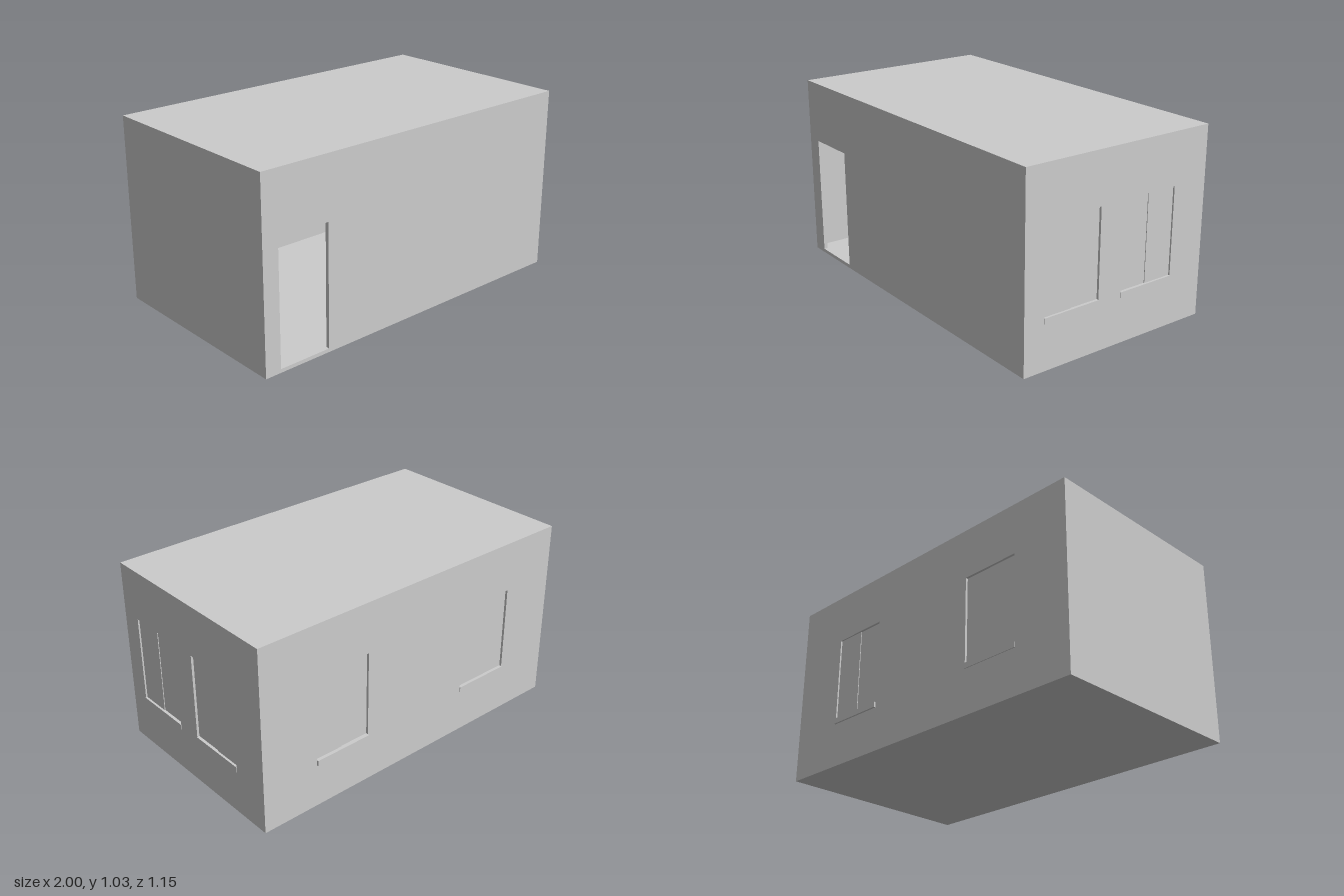
import * as THREE from 'three';

const mat = new THREE.MeshStandardMaterial({ color: 0xcccccc, flatShading: true });
const X0 = -1, X1 = 0.997, Z0 = -0.567, Z1 = 0.577, H = 1.03, T = 0.02;
const SILL = 0.275, HEAD = 0.75, WIN = 0.335;

function add(parent, name, geometry, x = 0, y = 0, z = 0) {
  const mesh = new THREE.Mesh(geometry, mat);
  mesh.name = name;
  mesh.position.set(x, y, z);
  parent.add(mesh);
  return mesh;
}

function outline(points, Type = THREE.Shape) {
  return new Type(points.map(([x, y]) => new THREE.Vector2(x, y)));
}

const rect = (a, b, c, d) => [[a, b], [c, b], [c, d], [a, d]];
const extrude = (shape, depth) => new THREE.ExtrudeGeometry(shape, { depth, bevelEnabled: false });

// Wall whose local z = 0 is the outer face, with a window at each given centre
function wall(name, points, centres = [], sillOut = [], split = []) {
  const group = new THREE.Group();
  group.name = name;
  const shape = outline(points);
  for (const c of centres) {
    shape.holes.push(outline(rect(c - WIN / 2, SILL, c + WIN / 2, HEAD), THREE.Path));
  }
  add(group, name + 'Panel', extrude(shape, T), 0, 0, -T);
  centres.forEach((c, i) => group.add(windowUnit(c, sillOut[i], split[i])));
  return group;
}

// Two sashes set back in the opening, an inner frame and a sill through the wall
function windowUnit(c, out, step) {
  const group = new THREE.Group();
  group.name = 'window';
  group.position.x = c;
  const h = HEAD - SILL, mid = (HEAD + SILL) / 2;
  for (const s of [-1, 1]) {
    const z = -0.015 + (s * step > 0 ? 0.004 : 0);
    add(group, 'sash', new THREE.BoxGeometry(WIN / 2, h, 0.004), s * WIN / 4, mid, z);
  }
  const frame = outline(rect(-WIN / 2, SILL, WIN / 2, HEAD));
  frame.holes.push(outline(rect(-WIN / 2 + 0.014, SILL + 0.01, WIN / 2 - 0.014, HEAD - 0.01), THREE.Path));
  add(group, 'innerFrame', extrude(frame, 0.007), 0, 0, -0.023);
  const depth = out + T + 0.01;
  add(group, 'sill', new THREE.BoxGeometry(WIN, 0.03, depth), 0, SILL - 0.015, out - depth / 2);
  return group;
}

export function createModel() {
  const room = new THREE.Group();
  room.name = 'room';
  const w = X1 - X0, d = Z1 - Z0, cx = (X0 + X1) / 2, cz = (Z0 + Z1) / 2;
  const top = H - T;

  // Floor and roof slabs
  add(room, 'floor', new THREE.BoxGeometry(w, T, d), cx, T / 2, cz);
  add(room, 'roof', new THREE.BoxGeometry(w, T, d), cx, H - T / 2, cz);

  // Front wall with an open doorway reaching the floor
  const front = wall('frontWall', [
    [X0, T], [-0.91, T], [-0.91, 0.69], [-0.61, 0.69], [-0.61, T], [X1, T], [X1, top], [X0, top],
  ]);
  front.position.z = Z1;

  // Back wall, turned round so local x runs along -x
  const back = wall('backWall', rect(-X1, T, -X0, top), [-0.5025, 0.5025], [0.01, 0.005], [-1, 0]);
  back.rotation.y = Math.PI;
  back.position.z = Z0;

  // Side walls between front and back; local x runs along -z on the +x side
  const left = wall('leftWall', rect(-Z1 + T, T, -Z0 - T, top), [-0.2925, 0.1875], [0.003, 0.003], [-1, 1]);
  left.rotation.y = Math.PI / 2;
  left.position.x = X1;
  const right = wall('rightWall', rect(Z0 + T, T, Z1 - T, top));
  right.rotation.y = -Math.PI / 2;
  right.position.x = X0;

  room.add(front, back, left, right);
  return room;
}
